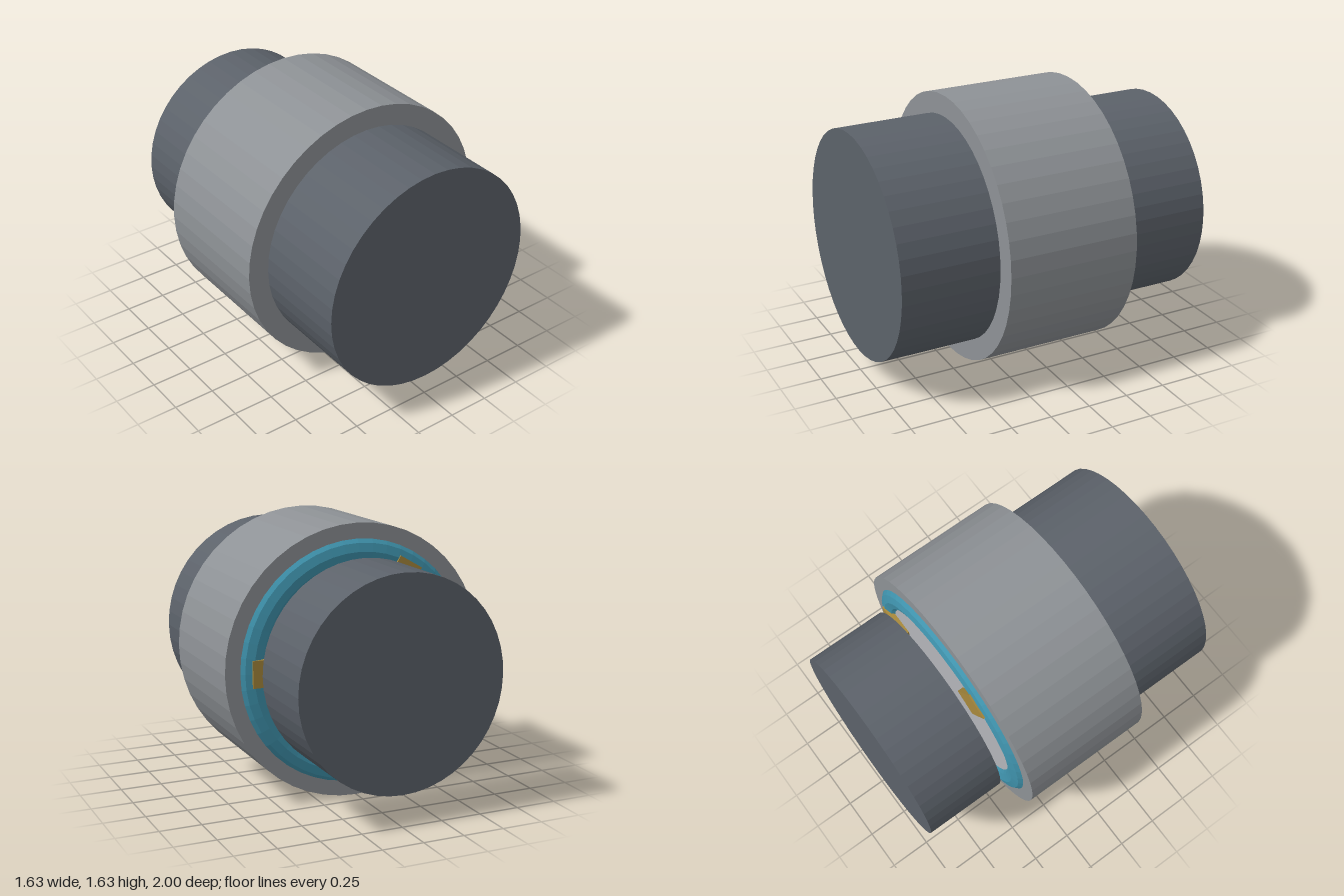
import * as THREE from 'three';

export function createModel() {
  const model = new THREE.Group();
  const axis = new THREE.Group(); // everything is arranged round this z axis
  axis.name = 'coupling';
  axis.position.y = 0.813;
  model.add(axis);

  const paint = (color) => new THREE.MeshStandardMaterial({ color, flatShading: true });
  const grey = paint(0x8e9296);
  const dark = paint(0x5c626a);
  const teal = paint(0x3f93ad);
  const gold = paint(0xa8893c);
  const pale = paint(0xb4b6ba);

  function add(name, geometry, material, parent = axis) {
    const mesh = new THREE.Mesh(geometry, material);
    mesh.name = name;
    parent.add(mesh);
    return mesh;
  }

  // Solid cylinder lying along z between two depths
  function drum(name, radius, zBack, zFront, material) {
    const geometry = new THREE.CylinderGeometry(radius, radius, zFront - zBack, 48);
    geometry.rotateX(Math.PI / 2);
    geometry.translate(0, 0, (zBack + zFront) / 2);
    return add(name, geometry, material);
  }

  drum('collar', 0.813, -0.405, 0.405, grey);
  drum('frontShaft', 0.685, 0.405, 1, dark);
  drum('backShaft', 0.625, -1, -0.5, dark);
  drum('innerFace', 0.58, -0.41, -0.4, pale);

  // Seal ring half sunk into the back of the collar
  const ring = add('sealRing', new THREE.TorusGeometry(0.65, 0.1, 12, 48), teal);
  ring.position.z = -0.34;

  // Three contact tabs lying across the ring
  for (let i = 0; i < 3; i++) {
    const pivot = new THREE.Group();
    pivot.name = 'contactTab' + (i + 1);
    pivot.rotation.z = (i * Math.PI * 2) / 3;
    axis.add(pivot);
    const tab = add('tab', new THREE.BoxGeometry(0.23, 0.16, 0.04), gold, pivot);
    tab.position.set(0.545, 0, -0.427);
  }

  return model;
}
